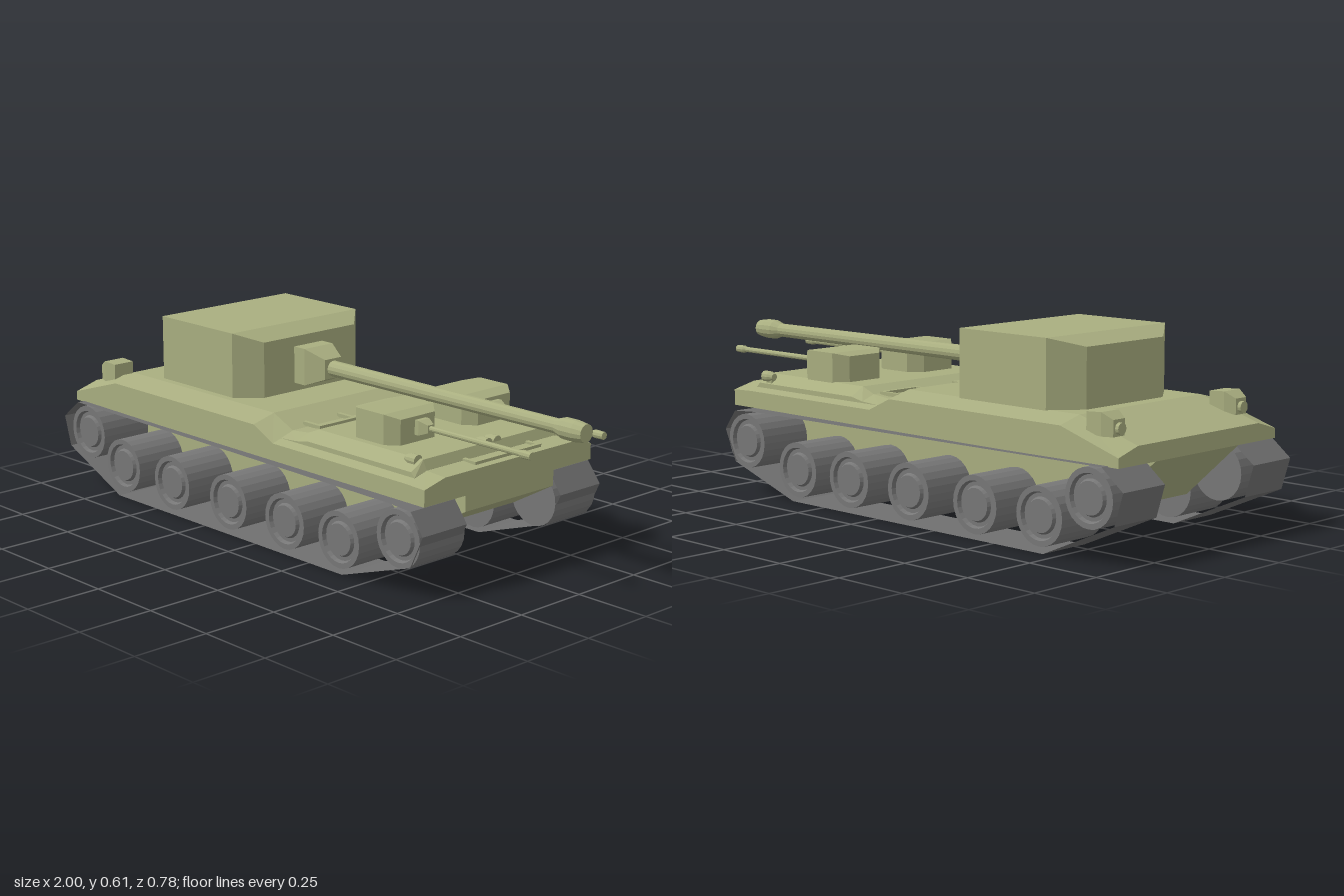
import * as THREE from 'three';

const green = new THREE.MeshStandardMaterial({ color: 0xa9ae80, flatShading: true });
const gray = new THREE.MeshStandardMaterial({ color: 0x777777, flatShading: true });
const trackMat = new THREE.MeshStandardMaterial({ color: 0x707070, flatShading: true, side: THREE.DoubleSide });

function add(parent, name, geometry, material = green, x = 0, y = 0, z = 0) {
  const mesh = new THREE.Mesh(geometry, material);
  mesh.name = name;
  mesh.position.set(x, y, z);
  parent.add(mesh);
  return mesh;
}

// Skin between cross-sections { x, pts: [z, y][] }, counter-clockwise seen from +x
function loft(sections) {
  const pos = [];
  const rings = sections.map(s => s.pts.map(([z, y]) => [s.x, y, z]));
  const tri = (a, b, c) => pos.push(...a, ...b, ...c);
  const n = rings[0].length;
  for (let k = 0; k < rings.length - 1; k++) {
    const a = rings[k], b = rings[k + 1];
    for (let i = 0; i < n; i++) {
      const j = (i + 1) % n;
      tri(a[i], a[j], b[j]);
      tri(a[i], b[j], b[i]);
    }
  }
  const first = rings[0], last = rings[rings.length - 1];
  for (let i = 1; i < n - 1; i++) {
    tri(first[0], first[i + 1], first[i]);
    tri(last[0], last[i], last[i + 1]);
  }
  const g = new THREE.BufferGeometry();
  g.setAttribute('position', new THREE.Float32BufferAttribute(pos, 3));
  g.computeVertexNormals();
  return g;
}

const rect = (z0, z1, y0, y1) => [[z1, y0], [z0, y0], [z0, y1], [z1, y1]];
const deckSection = (x, wide, narrow, y0, edge, top) => ({
  x, pts: [[wide, y0], [-wide, y0], [-wide, edge], [-narrow, top], [narrow, top], [wide, edge]],
});

// Side profile in x,y given a width, centred on z
function slab(profile, width) {
  const shape = new THREE.Shape(profile.map(p => new THREE.Vector2(...p)));
  return new THREE.ExtrudeGeometry(shape, { depth: width, bevelEnabled: false }).translate(0, 0, -width / 2);
}

// Lathe around the x axis from [radius, x] points
function turned(points, sides) {
  const g = new THREE.LatheGeometry(points.map(p => new THREE.Vector2(...p)), sides);
  return g.rotateZ(-Math.PI / 2);
}

// Flat frame open toward one end, dir = side of the closing bar
function uFrame(parent, name, x, y, z, lx, lz, dir) {
  const frame = new THREE.Group();
  frame.name = name;
  frame.position.set(x, y, z);
  const t = 0.014;
  add(frame, 'closingBar', new THREE.BoxGeometry(t, 0.012, lz), green, dir * (lx - t) / 2, 0, 0);
  for (const s of [-1, 1])
    add(frame, 'sideBar', new THREE.BoxGeometry(lx - t, 0.012, t), green, -dir * t / 2, 0, s * (lz - t) / 2);
  parent.add(frame);
}

function buildHull(model) {
  add(model, 'upperHull', loft([
    deckSection(-0.96, 0.365, 0.28, 0.28, 0.31, 0.335),
    deckSection(-0.74, 0.365, 0.28, 0.28, 0.378, 0.4),
    deckSection(-0.03, 0.365, 0.28, 0.28, 0.378, 0.4),
    deckSection(0.06, 0.365, 0.28, 0.28, 0.335, 0.36),
    deckSection(0.64, 0.365, 0.28, 0.28, 0.335, 0.358),
    deckSection(0.72, 0.365, 0.28, 0.28, 0.332, 0.353),
  ]));
  add(model, 'raisedDeck', loft([
    deckSection(0.05, 0.33, 0.28, 0.33, 0.345, 0.36),
    deckSection(0.13, 0.33, 0.28, 0.33, 0.35, 0.368),
    deckSection(0.18, 0.33, 0.28, 0.33, 0.36, 0.388),
    deckSection(0.63, 0.33, 0.28, 0.33, 0.36, 0.388),
    deckSection(0.645, 0.33, 0.28, 0.33, 0.345, 0.358),
  ]));
  add(model, 'lowerHull', slab([[-0.96, 0.285], [-0.76, 0.103], [0.47, 0.103], [0.56, 0.14],
    [0.72, 0.23], [0.72, 0.285]], 0.386));
  add(model, 'sponson', slab([[-0.13, 0.282], [-0.06, 0.242], [0.64, 0.242], [0.71, 0.282]], 0.48));
}

function buildRunningGear(model) {
  const loop = [[-0.7, 0], [0.4, 0], [0.69, 0.095], [0.74, 0.2], [0.69, 0.266], [0.6, 0.272],
    [-0.92, 0.283], [-1, 0.22], [-0.97, 0.12], [-0.7, 0]];
  const wheels = [[-0.87, 0.187], [-0.68, 0.108], [-0.42, 0.105], [-0.135, 0.105],
    [0.135, 0.105], [0.38, 0.105], [0.635, 0.17]];
  const wheelProfile = [[0, -0.0925], [0.09, -0.0925], [0.09, 0.0925], [0.073, 0.0925], [0.068, 0.08],
    [0.056, 0.08], [0.05, 0.09], [0, 0.09]].map(p => new THREE.Vector2(...p));
  for (const side of [-1, 1]) {
    const gear = new THREE.Group();
    gear.name = side > 0 ? 'leftRunningGear' : 'rightRunningGear';
    // Track: a thin closed band bent around the loop
    const band = new THREE.PlaneGeometry(1, 1, loop.length - 1, 1);
    const p = band.attributes.position;
    for (let i = 0; i < p.count; i++) {
      const [x, y] = loop[i % loop.length];
      p.setXYZ(i, x, y, side * (i < loop.length ? 0.39 : 0.207));
    }
    band.computeVertexNormals();
    add(gear, 'track', band, trackMat);
    const wheel = new THREE.LatheGeometry(wheelProfile, 24).rotateX(side * Math.PI / 2);
    for (const [x, y] of wheels) add(gear, 'wheel', wheel, gray, x, y, side * 0.293);
    model.add(gear);
  }
}

function buildMainTurret(model) {
  const turret = new THREE.Group();
  turret.name = 'mainTurret';
  add(turret, 'turretBody', loft([
    { x: -0.695, pts: rect(-0.2, 0.15, 0.39, 0.585) },
    { x: -0.615, pts: rect(-0.288, 0.255, 0.39, 0.612) },
    { x: -0.26, pts: rect(-0.288, 0.255, 0.39, 0.612) },
    { x: -0.19, pts: rect(-0.215, 0.18, 0.39, 0.582) },
  ]));
  add(turret, 'mantlet', loft([
    { x: -0.2, pts: rect(-0.071, 0.051, 0.428, 0.549) },
    { x: -0.14, pts: rect(-0.071, 0.051, 0.428, 0.549) },
    { x: -0.07, pts: rect(-0.045, 0.025, 0.455, 0.52) },
  ]));
  add(turret, 'mainBarrel', turned([[0, -0.08], [0.026, -0.08], [0.023, 0.89], [0.033, 0.92],
    [0.033, 0.965], [0.028, 1], [0, 1]], 14), green, 0, 0.487, -0.011);
  model.add(turret);
}

function buildSmallTurrets(model) {
  for (const [name, z, gunZ] of [['leftSmallTurret', 0.153, 0.143], ['rightSmallTurret', -0.181, -0.175]]) {
    const turret = new THREE.Group();
    turret.name = name;
    add(turret, 'turretBody', loft([[0.28, 0.065, 0.472], [0.32, 0.104, 0.482], [0.44, 0.104, 0.482], [0.48, 0.072, 0.468]]
      .map(([x, w, top]) => ({ x, pts: rect(z - w, z + w, 0.38, top) }))));
    add(turret, 'mantlet', loft([[0.475, 0.023], [0.495, 0.023], [0.525, 0.012]]
      .map(([x, w]) => ({ x, pts: rect(gunZ - w, gunZ + w, 0.434 - w, 0.434 + w) }))));
    add(turret, 'barrel', turned([[0, 0.52], [0.009, 0.52], [0.009, 0.885], [0.013, 0.895],
      [0.012, 0.93], [0, 0.93]], 10), green, 0, 0.434, gunZ);
    model.add(turret);
  }
}

function buildFittings(model) {
  const lamp = turned([[0, -0.025], [0.011, -0.025], [0.018, -0.005], [0.018, 0.022], [0, 0.022]], 12);
  for (const z of [0.288, -0.318]) {
    add(model, 'headlight', lamp, green, 0.595, 0.383, z);
    add(model, 'headlightBase', new THREE.BoxGeometry(0.03, 0.03, 0.016), green, 0.59, 0.358, z);
  }
  for (const z of [0.005, -0.035]) add(model, 'centreLight', lamp, green, 0.61, 0.383, z);
  // Rear deck lamps
  for (const z of [0.278, -0.287]) {
    add(model, 'rearBox', loft([
      { x: -0.895, pts: rect(z - 0.025, z + 0.025, 0.355, 0.405) },
      { x: -0.86, pts: rect(z - 0.038, z + 0.038, 0.355, 0.425) },
      { x: -0.805, pts: rect(z - 0.038, z + 0.038, 0.36, 0.422) },
    ]));
    add(model, 'rearLamp', lamp, green, -0.885, 0.378, z).rotation.y = Math.PI;
  }
  // Hatch frames and front plate frame
  uFrame(model, 'hatchFrame', 0.082, 0.37, 0.143, 0.08, 0.16, 1);
  uFrame(model, 'hatchFrame', 0.082, 0.37, -0.18, 0.08, 0.16, 1);
  uFrame(model, 'frontPlateFrame', 0.668, 0.358, -0.017, 0.055, 0.29, 1);
}

export function createModel() {
  const model = new THREE.Group();
  model.name = 'tank';
  buildHull(model);
  buildRunningGear(model);
  buildMainTurret(model);
  buildSmallTurrets(model);
  buildFittings(model);
  return model;
}
